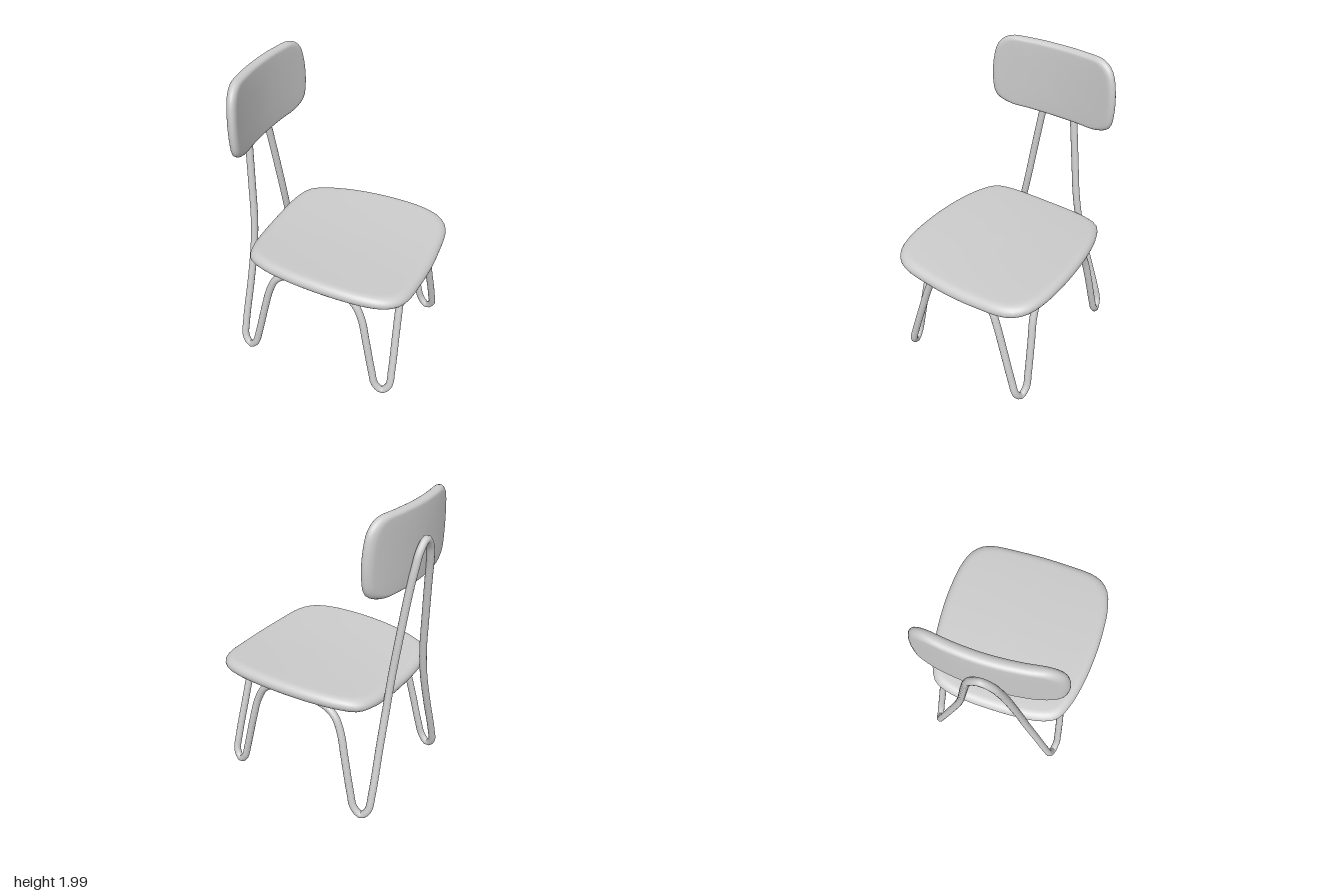
import * as THREE from 'three';

const material = new THREE.MeshStandardMaterial({ color: 0xcccccc, roughness: 0.7 });

function addMesh(group, name, geometry) {
  const mesh = new THREE.Mesh(geometry, material);
  mesh.name = name;
  group.add(mesh);
}

// Cushion-like pad: a mirrored outline (u, v) shrunk in rings from top centre
// to bottom centre; place(u, v, h) bends each point, h runs from +1 to -1.
function padGeometry(half, centreU, place) {
  const mirrored = half.slice(1, -1).reverse().map(([u, v]) => [u, -v]);
  const curve = new THREE.CatmullRomCurve3(
    [...half, ...mirrored].map(([u, v]) => new THREE.Vector3(u, v, 0)), true);
  const segments = 80;
  const outline = curve.getSpacedPoints(segments).slice(0, segments);

  // Nearly flat faces with a rounded rim
  const top = [0, 0.2, 0.4, 0.6, 0.75, 0.85].map((s) => [s, 1 - 0.12 * s ** 4]);
  const rim = [];
  for (let i = 0; i <= 12; i++) {
    const a = Math.PI / 2 - (Math.PI * i) / 12;
    rim.push([0.9 + 0.1 * Math.cos(a), 0.92 * Math.sin(a)]);
  }
  const bottom = top.map(([s, h]) => [s, -h]).reverse();
  const rings = [...top, ...rim, ...bottom];

  const positions = [];
  const indices = [];
  rings.forEach(([s, h]) => {
    for (const p of outline) {
      positions.push(...place(centreU + (p.x - centreU) * s, p.y * s, h));
    }
  });
  for (let r = 0; r < rings.length - 1; r++) {
    for (let i = 0; i < segments; i++) {
      const j = (i + 1) % segments;
      const a = r * segments + i, b = r * segments + j;
      const c = a + segments, d = b + segments;
      if (r > 0) indices.push(a, b, c);
      if (r < rings.length - 2) indices.push(b, d, c);
      else if (r === 0) indices.push(b, d, c);
    }
  }
  const geometry = new THREE.BufferGeometry();
  geometry.setAttribute('position', new THREE.Float32BufferAttribute(positions, 3));
  geometry.setIndex(indices);
  geometry.computeVertexNormals();
  // Centre points coincide, so give them the face direction
  const normals = geometry.attributes.normal;
  for (let i = 0; i < segments; i++) {
    const last = (rings.length - 1) * segments;
    normals.setXYZ(i, normals.getX(segments), normals.getY(segments), normals.getZ(segments));
    const k = last - segments;
    normals.setXYZ(last + i, normals.getX(k), normals.getY(k), normals.getZ(k));
  }
  return geometry;
}

// One continuous bent tube: back arch, rear leg, side rail, front leg, front bar
function frameGeometry() {
  const side = [
    [-0.607, 1.73, 0.062], [-0.6, 1.64, 0.092], [-0.585, 1.5, 0.118],
    [-0.56, 1.2, 0.163], [-0.542, 0.95, 0.2], [-0.538, 0.75, 0.24],
    [-0.542, 0.5, 0.31], [-0.552, 0.2, 0.4], [-0.545, 0.08, 0.435],
    [-0.502, 0.035, 0.45], [-0.452, 0.08, 0.458], [-0.422, 0.18, 0.452],
    [-0.365, 0.43, 0.435], [-0.325, 0.59, 0.42], [-0.275, 0.69, 0.412],
    [-0.19, 0.74, 0.408],
    [0.19, 0.74, 0.408], [0.275, 0.69, 0.412], [0.33, 0.59, 0.42],
    [0.37, 0.43, 0.435], [0.425, 0.18, 0.452], [0.452, 0.08, 0.458],
    [0.5, 0.035, 0.45], [0.542, 0.08, 0.435], [0.545, 0.2, 0.4],
    [0.533, 0.45, 0.325], [0.525, 0.61, 0.275], [0.52, 0.7, 0.235],
    [0.517, 0.738, 0.16],
  ];
  const mirrored = [...side].reverse().map(([x, y, z]) => [x, y, -z]);
  const points = [[-0.611, 1.785, 0], ...side, ...mirrored];
  const path = new THREE.CatmullRomCurve3(
    points.map((p) => new THREE.Vector3(...p)), true, 'centripetal');
  path.arcLengthDivisions = 1000;
  return new THREE.TubeGeometry(path, 400, 0.024, 14, true);
}

export function createModel() {
  const chair = new THREE.Group();
  chair.name = 'chair';

  addMesh(chair, 'tubeFrame', frameGeometry());

  // Seat: wide in front, sides lifted, front and back edges lowered
  const seatOutline = [
    [0.635, 0], [0.628, 0.18], [0.61, 0.36], [0.58, 0.435], [0.515, 0.495],
    [0.4, 0.532], [0.2, 0.548], [0, 0.542], [-0.18, 0.52], [-0.35, 0.477],
    [-0.455, 0.42], [-0.5, 0.31], [-0.517, 0.15], [-0.52, 0],
  ];
  addMesh(chair, 'seat', padGeometry(seatOutline, 0.06, (x, z, h) => [
    x, 0.812 + 0.08 * z * z - 0.04 * (x - 0.06) ** 2 + 0.05 * h, z,
  ]));

  // Backrest: upright pad curved forward at both ends
  const backOutline = [
    [0.245, 0], [0.242, 0.18], [0.233, 0.33], [0.185, 0.425], [0.09, 0.45],
    [-0.08, 0.443], [-0.185, 0.41], [-0.236, 0.345], [-0.245, 0.2], [-0.245, 0],
  ];
  addMesh(chair, 'backrest', padGeometry(backOutline, 0, (u, z, h) => [
    -0.543 + 0.3 * z * z + 0.036 * h, 1.755 - u, z,
  ]));

  return chair;
}
